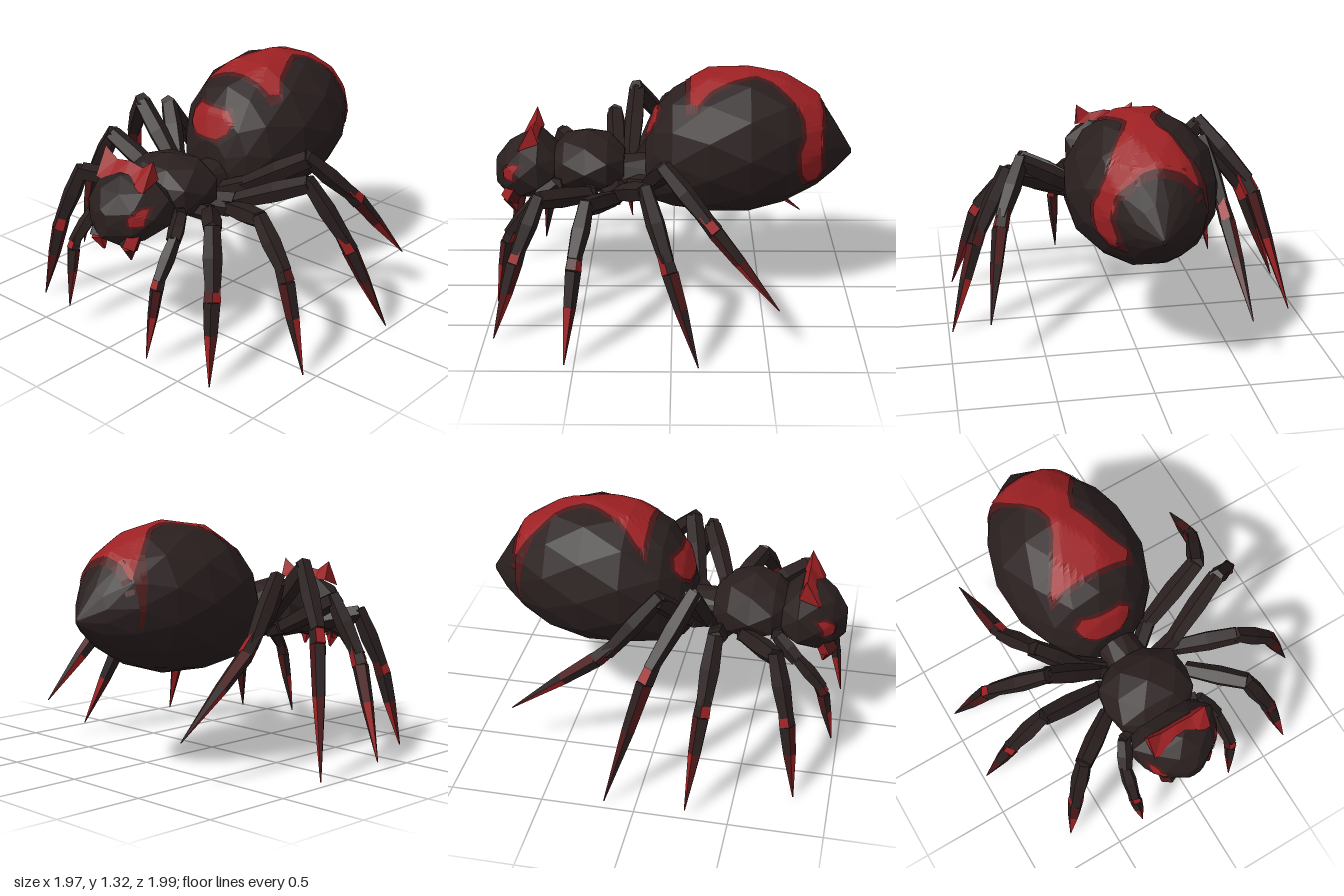
import * as THREE from 'three';

const paint = (name, color) => {
  const m = new THREE.MeshStandardMaterial({ color });
  m.name = name;
  return m;
};
const V = (x, y, z) => new THREE.Vector3(x, y, z);

// Faceted normals baked into the geometry
function facet(geo) {
  const g = geo.index ? geo.toNonIndexed() : geo;
  g.computeVertexNormals();
  return g;
}

function fromTriangles(tris) {
  const g = new THREE.BufferGeometry();
  g.setAttribute('position', new THREE.Float32BufferAttribute(tris.flatMap(p => p.toArray()), 3));
  return facet(g);
}

function addMesh(parent, name, geo, mat) {
  const m = new THREE.Mesh(geo, mat);
  m.name = name;
  parent.add(m);
  return m;
}

// Body loft; each section is [z, centreX, halfWidth, bottomY, topY], front to back
function loft(sections, n) {
  const rings = sections.map(([z, cx, rx, yb, yt], i) =>
    Array.from({ length: n }, (_, j) => {
      const a = ((j + i / 2) / n) * Math.PI * 2;
      return V(cx + rx * Math.cos(a), (yb + yt) / 2 + ((yt - yb) / 2) * Math.sin(a), z);
    }));
  const centre = ([z, cx, , yb, yt]) => V(cx, (yb + yt) / 2, z);
  const c0 = centre(sections[0]), c1 = centre(sections.at(-1));
  const tris = [];
  for (let j = 0; j < n; j++) {
    const k = (j + 1) % n;
    tris.push(c0, rings[0][j], rings[0][k]);
    for (let i = 0; i + 1 < rings.length; i++) {
      const f = rings[i], b = rings[i + 1];
      tris.push(f[j], b[j], f[k], b[j], b[k], f[k]);
    }
    tris.push(c1, rings.at(-1)[k], rings.at(-1)[j]);
  }
  return fromTriangles(tris);
}

// Thin marking draped on a mesh; rows are [v, uStart, uEnd] seen along the given axis
const AXES = {
  top: [(u, v) => V(u, 3, v), V(0, -1, 0)],
  front: [(u, v) => V(u, v, 3), V(0, 0, -1)],
  left: [(u, v) => V(3, v, u), V(-1, 0, 0)],
  right: [(u, v) => V(-3, v, u), V(1, 0, 0)],
};
function drape(target, axis, rows, lift, grow = 0, cols = 12, sub = 4) {
  const [origin, dir] = AXES[axis];
  const ray = new THREE.Raycaster();
  const grown = rows.map(([v, a, b], i) => {
    const end = i === 0 ? -1 : i === rows.length - 1 ? 1 : 0;
    return [v + end * grow * Math.sign(rows.at(-1)[0] - rows[0][0]), a - grow, b + grow];
  });
  const grid = [];
  for (let s = 0; s <= (grown.length - 1) * sub; s++) {
    const i = Math.min(Math.floor(s / sub), grown.length - 2), t = s / sub - i;
    const [v, a, b] = grown[i].map((q, k) => q + (grown[i + 1][k] - q) * t);
    grid.push(Array.from({ length: cols + 1 }, (_, c) => {
      ray.set(origin(a + ((b - a) * c) / cols, v), dir);
      const hit = ray.intersectObject(target)[0];
      return hit && hit.point.clone().addScaledVector(hit.face.normal, lift);
    }));
  }
  const tris = [];
  const put = (a, b, c) => {
    if (!a || !b || !c) return;
    const n = b.clone().sub(a).cross(c.clone().sub(a));
    tris.push(...(n.dot(dir) > 0 ? [a, c, b] : [a, b, c]));
  };
  for (let r = 0; r + 1 < grid.length; r++)
    for (let c = 0; c < cols; c++) {
      put(grid[r][c], grid[r + 1][c], grid[r][c + 1]);
      put(grid[r + 1][c], grid[r + 1][c + 1], grid[r][c + 1]);
    }
  return fromTriangles(tris);
}

// Five-sided limb section from a to b; an array of materials is dealt out face by face
function rod(parent, name, a, b, ra, rb, mat) {
  const n = 5, d = b.clone().sub(a);
  const g = new THREE.CylinderGeometry(rb, ra, d.length(), n);
  g.clearGroups();
  if (Array.isArray(mat)) {
    for (let k = 0; k < n; k++) g.addGroup(k * 6, 6, k % mat.length);
    g.addGroup(n * 6, n * 6, 0);
  }
  const m = addMesh(parent, name, facet(g), mat);
  m.position.copy(a).add(b).multiplyScalar(0.5);
  m.quaternion.setFromUnitVectors(V(0, 1, 0), d.normalize());
}

export function createModel() {
  const dark = paint('dark brown', 0x2a1f1f);
  const red = paint('red', 0x9c2023);
  const deep = paint('deep red', 0x4c1819);
  const model = new THREE.Group();
  model.name = 'spider';

  // Body
  const abdomen = addMesh(model, 'abdomen', loft([
    [0.15, -0.05, 0.14, 0.62, 0.92], [0.1, -0.04, 0.23, 0.55, 1.07], [0, -0.04, 0.32, 0.52, 1.2],
    [-0.2, -0.04, 0.4, 0.5, 1.3], [-0.42, -0.04, 0.41, 0.5, 1.32], [-0.62, -0.045, 0.355, 0.55, 1.27],
    [-0.8, -0.05, 0.245, 0.64, 1.17], [-0.91, -0.045, 0.13, 0.73, 1.0], [-1, -0.04, 0.01, 0.82, 0.85]], 12), dark);
  addMesh(model, 'waist', loft([[0.32, -0.02, 0.13, 0.6, 0.82], [0.06, -0.02, 0.11, 0.58, 0.83]], 8), dark);
  addMesh(model, 'thorax', loft([
    [0.66, -0.03, 0.17, 0.66, 0.87], [0.6, -0.03, 0.24, 0.62, 0.93], [0.48, -0.03, 0.255, 0.6, 0.96],
    [0.36, -0.03, 0.25, 0.62, 0.93], [0.27, -0.03, 0.14, 0.65, 0.85]], 8), dark);
  const head = addMesh(model, 'head', loft([
    [0.99, -0.03, 0.05, 0.64, 0.8], [0.92, -0.03, 0.17, 0.58, 0.89], [0.84, -0.03, 0.23, 0.57, 0.94],
    [0.74, -0.03, 0.265, 0.58, 0.96], [0.65, -0.03, 0.2, 0.65, 0.87]], 8), dark);

  // Markings: each a red field over a slightly larger deep red border
  const marking = (name, target, axis, rows, border) => {
    addMesh(model, name + 'Border', drape(target, axis, rows, 0.004, border), deep);
    addMesh(model, name, drape(target, axis, rows, 0.008), red);
  };
  marking('hourglass', abdomen, 'top', [
    [-0.81, -0.25, 0.18], [-0.72, -0.21, 0.2], [-0.63, -0.15, 0.14], [-0.54, -0.09, 0.08], [-0.46, -0.07, 0.05],
    [-0.37, -0.1, 0.09], [-0.22, -0.19, 0.15], [-0.14, -0.25, 0.21], [-0.1, -0.27, 0.18]], 0.028);
  marking('leftStripe', abdomen, 'left', [
    [1.2, -0.79, -0.69], [1.1, -0.82, -0.71], [1, -0.8, -0.72], [0.93, -0.8, -0.69], [0.8, -0.81, -0.7], [0.74, -0.79, -0.74]], 0.025);
  addMesh(model, 'rightDrip', drape(abdomen, 'right',
    [[1.16, -0.82, -0.7], [1.06, -0.8, -0.74], [0.92, -0.8, -0.77], [0.8, -0.79, -0.77]], 0.005), deep);
  marking('frontSpot', abdomen, 'front', [
    [1.09, -0.18, 0.03], [1.04, -0.22, 0.08], [0.98, -0.2, 0.06], [0.94, -0.14, 0]], 0.018);
  for (const s of [-1, 1]) {
    const x = -0.03 + s * 0.17;
    marking('eye', head, 'front', [
      [0.81, x + s * 0.02 - 0.01, x + s * 0.02 + 0.01], [0.77, x - 0.03, x + 0.03], [0.73, x - 0.025, x + 0.025]], 0.012);
    // Fangs
    const fx = -0.03 + s * 0.11;
    rod(model, 'fangBase', V(fx + s * 0.01, 0.67, 0.87), V(fx, 0.59, 0.91), 0.05, 0.055, [deep, red, dark]);
    rod(model, 'fang', V(fx, 0.6, 0.9), V(fx - s * 0.01, 0.51, 0.88), 0.05, 0.006, [red, red, deep]);
  }

  // Crest: a two-pointed wedge across the head
  const ridge = [[-0.205, 1.04], [-0.12, 0.985], [-0.03, 1.0], [0.06, 0.985], [0.14, 1.04]];
  const base = ([x]) => V(x, 0.89, 0.85), peak = ([x, y]) => V(x, y, 0.77), heel = ([x]) => V(x, 0.93, 0.735);
  const crest = [];
  for (let i = 0; i + 1 < ridge.length; i++) {
    const [p, q] = [ridge[i], ridge[i + 1]];
    crest.push(base(p), base(q), peak(q), base(p), peak(q), peak(p));
    crest.push(heel(q), heel(p), peak(p), heel(q), peak(p), peak(q));
  }
  const [first, last] = [ridge[0], ridge.at(-1)];
  crest.push(heel(first), base(first), peak(first), base(last), heel(last), peak(last));
  addMesh(model, 'crest', fromTriangles(crest), red);

  // Limbs: root, hip, knee, ankle, tip
  const limbs = {
    leftFeeler: [[0.1, 0.7, 0.62], [0.2, 0.72, 0.64], [0.26, 0.63, 0.76], [0.28, 0.46, 0.9], [0.26, 0.04, 0.98]],
    rightFeeler: [[-0.16, 0.7, 0.62], [-0.27, 0.73, 0.64], [-0.33, 0.63, 0.76], [-0.35, 0.48, 0.9], [-0.33, 0.13, 0.97]],
    leftFrontLeg: [[0.08, 0.66, 0.45], [0.24, 0.68, 0.46], [0.48, 0.74, 0.71], [0.58, 0.47, 0.82], [0.67, 0.02, 0.95]],
    rightFrontLeg: [[-0.12, 0.66, 0.45], [-0.26, 0.7, 0.46], [-0.53, 0.77, 0.66], [-0.63, 0.47, 0.74], [-0.72, 0.01, 0.81]],
    leftSecondLeg: [[0.08, 0.66, 0.38], [0.25, 0.66, 0.31], [0.58, 0.74, 0.45], [0.78, 0.53, 0.5], [0.95, 0.02, 0.55]],
    rightSecondLeg: [[-0.12, 0.66, 0.36], [-0.25, 0.7, 0.32], [-0.6, 0.88, 0.35], [-0.79, 0.6, 0.33], [-0.98, 0.05, 0.27]],
    leftThirdLeg: [[0.06, 0.67, 0.32], [0.27, 0.7, 0.28], [0.64, 0.85, 0.13], [0.81, 0.53, 0.02], [0.98, 0.02, -0.14]],
    rightThirdLeg: [[-0.1, 0.67, 0.28], [-0.2, 0.74, 0.24], [-0.5, 1.06, 0.21], [-0.75, 0.76, 0.04], [-0.96, 0.02, -0.17]],
    leftBackLeg: [[0.05, 0.68, 0.25], [0.19, 0.72, 0.13], [0.56, 0.94, 0.03], [0.69, 0.7, -0.19], [0.79, 0.25, -0.56]],
    rightBackLeg: [[-0.1, 0.68, 0.25], [-0.28, 0.78, 0.16], [-0.47, 1.0, 0.02], [-0.54, 0.68, -0.24], [-0.57, 0.26, -0.78]],
  };
  for (const [name, path] of Object.entries(limbs)) {
    const limb = new THREE.Group();
    limb.name = name;
    model.add(limb);
    const [root, hip, knee, ankle, tip] = path.map(p => V(...p));
    const k = name.endsWith('Feeler') ? 0.8 : 1;
    const mix = (a, b, t) => a.clone().lerp(b, t);
    rod(limb, 'hip', root, hip, 0.045 * k, 0.05 * k, dark);
    rod(limb, 'thigh', hip, mix(hip, knee, 0.55), 0.046 * k, 0.058 * k, dark);
    rod(limb, 'thighEnd', mix(hip, knee, 0.55), knee, 0.058 * k, 0.05 * k, dark);
    rod(limb, 'shin', mix(knee, ankle, -0.08), mix(knee, ankle, 0.45), 0.042 * k, 0.053 * k, dark);
    rod(limb, 'shinEnd', mix(knee, ankle, 0.45), ankle, 0.053 * k, 0.04 * k, dark);
    rod(limb, 'ankle', mix(ankle, knee, 0.14), mix(ankle, tip, 0.1), 0.04 * k, 0.046 * k, [red, dark, red, deep, dark]);
    rod(limb, 'foot', mix(ankle, tip, 0.1), mix(ankle, tip, 0.45), 0.046 * k, 0.036 * k, [dark, deep, dark, dark, deep]);
    rod(limb, 'claw', mix(ankle, tip, 0.45), tip, 0.036 * k, 0.003, [deep, red, deep, red, dark]);
  }
  return model;
}
